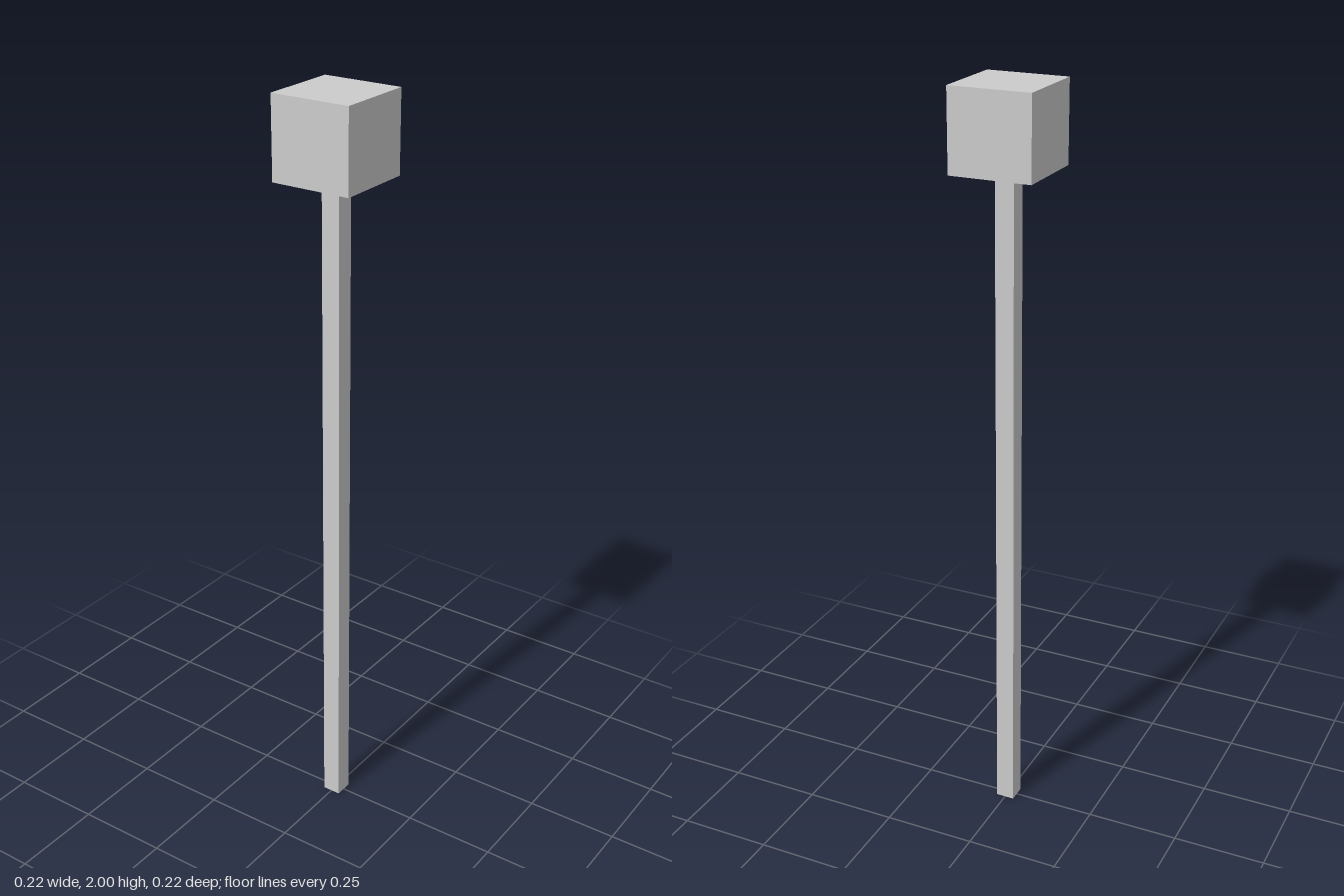
import * as THREE from 'three';

const HEIGHT = 2;
const HEAD_WIDTH = 0.216;
const HEAD_HEIGHT = 0.21;
const POST_WIDTH = 0.05;

export function createModel() {
  const model = new THREE.Group();
  model.name = 'mallet';
  const material = new THREE.MeshStandardMaterial({ color: 0xcccccc, flatShading: true });

  // Square block standing on the given base height
  function addBlock(name, width, height, base) {
    const mesh = new THREE.Mesh(new THREE.BoxGeometry(width, height, width), material);
    mesh.name = name;
    mesh.position.y = base + height / 2;
    model.add(mesh);
  }

  // Slender square handle
  addBlock('handle', POST_WIDTH, HEIGHT - HEAD_HEIGHT, 0);
  // Block head on top of the handle
  addBlock('head', HEAD_WIDTH, HEAD_HEIGHT, HEIGHT - HEAD_HEIGHT);

  return model;
}
